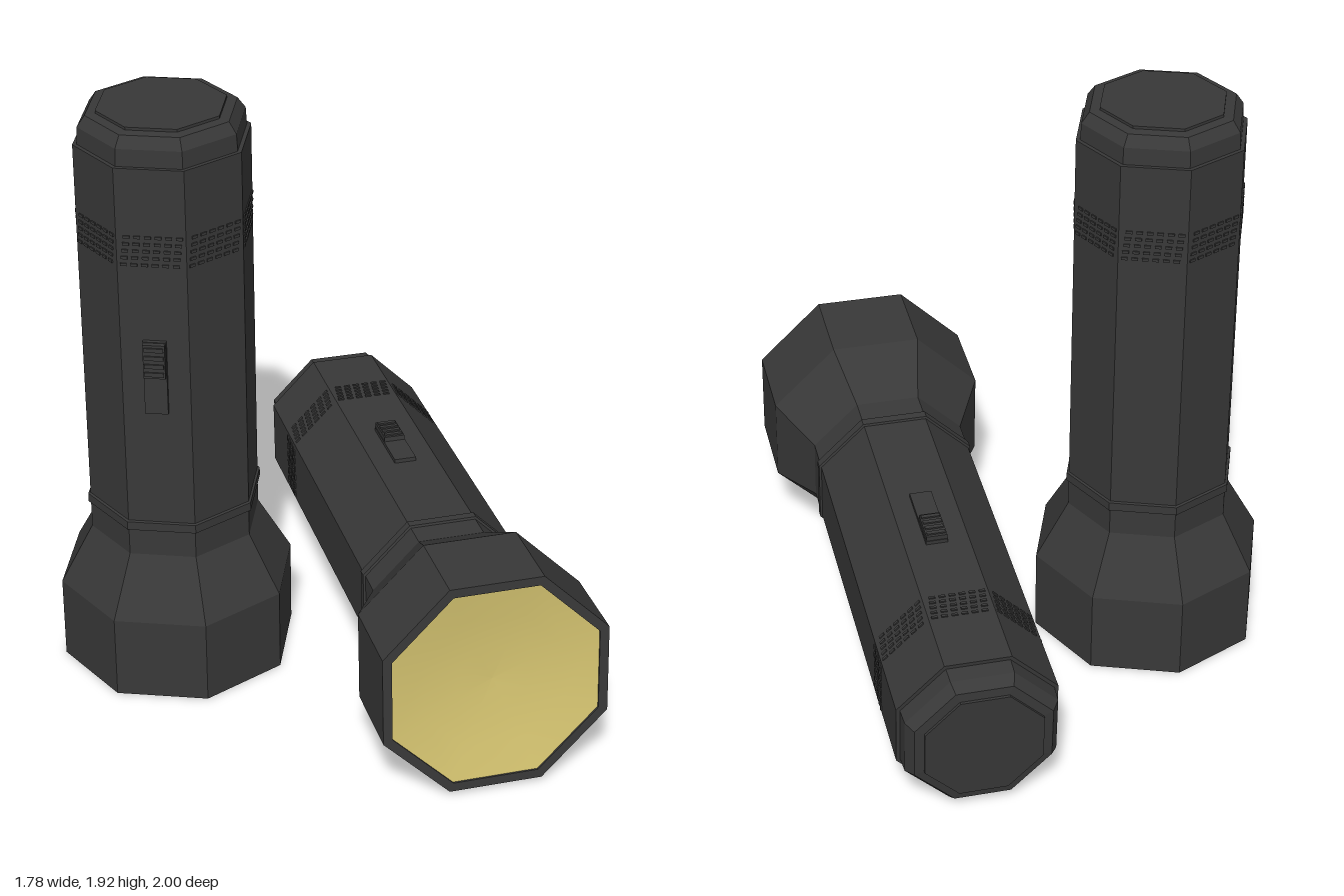
import * as THREE from 'three';
import { mergeGeometries } from 'three/addons/utils/BufferGeometryUtils.js';

const black = new THREE.MeshStandardMaterial({ color: 0x383838 });
black.name = 'black plastic';
const yellow = new THREE.MeshStandardMaterial({ color: 0xd4c370 });
yellow.name = 'yellow lens';

const SIDES = 8;
const BODY = 0.255; // flat-to-centre distance of the barrel

// Octagonal lathe; profile widths are measured to the flats, one flat faces +z
function octagon(profile, faceted = true) {
  const k = 1 / Math.cos(Math.PI / SIDES);
  const points = profile.map(([r, y]) => new THREE.Vector2(r * k, y));
  const lathe = new THREE.LatheGeometry(points, SIDES, Math.PI / SIDES);
  if (!faceted) return lathe;
  const flat = lathe.toNonIndexed();
  flat.computeVertexNormals();
  return flat;
}

function box(w, h, d, x, y, z) {
  return new THREE.BoxGeometry(w, h, d).translate(x, y, z);
}

// Rows of small raised dashes around the tail end of the barrel
function gripGeometry() {
  const dashes = [];
  for (let face = 0; face < SIDES; face++) {
    for (let row = 0; row < 5; row++) {
      for (let i = 0; i < 6; i++) {
        const x = (i - 2.5) * 0.032 + (row - 2) * 0.003;
        dashes.push(box(0.02, 0.009, 0.008, x, 1.505 + row * 0.023, BODY)
          .rotateY(face * Math.PI * 2 / SIDES));
      }
    }
  }
  return mergeGeometries(dashes);
}

// One torch standing on its lens, switch towards +z
function createTorch(name) {
  const torch = new THREE.Group();
  torch.name = name;
  const add = (part, geometry, material = black) => {
    const mesh = new THREE.Mesh(geometry, material);
    mesh.name = part;
    torch.add(mesh);
  };

  // Flared head with its rim
  add('head', octagon([[0.326, 0.025], [0.326, 0], [0.355, 0], [0.355, 0.28], [BODY, 0.475]]));
  // Shallow dished lens inside the rim
  add('lens', octagon([[0, 0.045], [0.11, 0.04], [0.22, 0.026], [0.327, 0.006]], false), yellow);
  // Barrel and collar
  add('barrel', octagon([[BODY, 0.475], [BODY, 1.82], [0.24, 1.82]]));
  add('collar', octagon([[BODY, 0.565], [0.262, 0.568], [0.262, 0.597], [BODY, 0.6]]));
  add('grip', gripGeometry());
  // Stepped tail cap with a raised end plate
  add('tailCap', octagon([[0.243, 1.815], [0.24, 1.875], [0.217, 1.91], [0.187, 1.913],
    [0.187, 1.922], [0, 1.922]]));

  // Sliding switch on its track, with thumb ridges
  add('switchTrack', box(0.072, 0.25, 0.024, 0, 1.125, 0.256));
  add('switchSlider', box(0.068, 0.115, 0.034, 0, 1.19, 0.267));
  const ridges = [];
  for (let i = 0; i < 4; i++) ridges.push(box(0.06, 0.014, 0.01, 0, 1.148 + i * 0.028, 0.284));
  add('switchRidges', mergeGeometries(ridges));
  return torch;
}

export function createModel() {
  const model = new THREE.Group();
  model.name = 'torches';

  const standing = createTorch('standingTorch');
  standing.position.set(-0.535, 0, 0.167);

  // Rests on the back edge of its head and on its tail
  const lying = createTorch('lyingTorch');
  lying.rotation.order = 'YXZ';
  lying.rotation.set(THREE.MathUtils.degToRad(-93.7), THREE.MathUtils.degToRad(20.75), 0);
  lying.position.set(0.55, 0.372, 0.867);

  model.add(standing, lying);
  return model;
}
